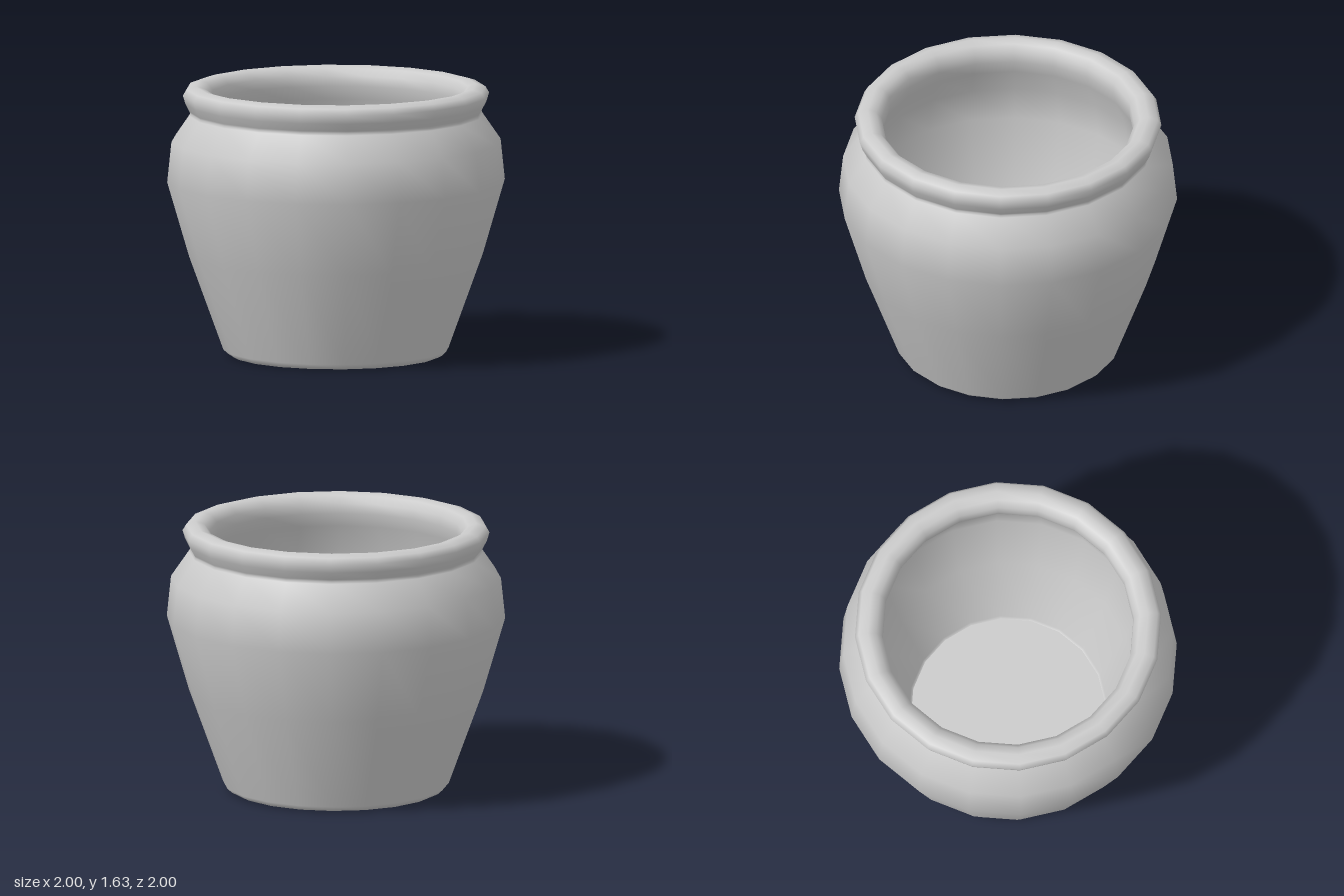
import * as THREE from 'three';

const SIDES = 20;
const HALF_STEP = Math.PI / SIDES;
// Profile radii are measured to the flat sides, so widen them to the corners
const CORNER = 1 / Math.cos(HALF_STEP);

const material = new THREE.MeshStandardMaterial({ color: 0xcccccc });

function addLathe(group, name, profile) {
  const points = profile.map(([r, y]) => new THREE.Vector2(r * CORNER, y));
  const mesh = new THREE.Mesh(new THREE.LatheGeometry(points, SIDES, HALF_STEP), material);
  mesh.name = name;
  group.add(mesh);
}

function addDisc(group, name, radius, y, facing) {
  const geometry = new THREE.CircleGeometry(radius * CORNER, SIDES, HALF_STEP);
  geometry.rotateX(-facing * Math.PI / 2);
  const mesh = new THREE.Mesh(geometry, material);
  mesh.name = name;
  mesh.position.y = y;
  group.add(mesh);
}

export function createModel() {
  const pot = new THREE.Group();
  pot.name = 'pot';

  // One smooth skin: up the outside, over the rolled rim and down the inside
  addLathe(pot, 'potWall', [
    // bevelled foot, flared belly and shoulder
    [0.62, 0], [0.64, 0.01], [0.667, 0.035],
    [0.87, 0.6], [1.0, 1.05], [0.975, 1.293],
    // pinched neck
    [0.869, 1.449], [0.862, 1.462], [0.868, 1.475],
    // rolled rim
    [0.892, 1.522], [0.907, 1.573], [0.885, 1.61], [0.83, 1.627],
    [0.78, 1.612], [0.747, 1.57], [0.742, 1.51],
    // inside, narrowing to a small bevel at the floor
    [0.76, 1.43], [0.82, 1.27], [0.855, 1.04], [0.75, 0.6],
    [0.588, 0.12], [0.575, 0.108],
  ]);

  addDisc(pot, 'innerFloor', 0.575, 0.108, 1);
  addDisc(pot, 'base', 0.62, 0, -1);

  return pot;
}
